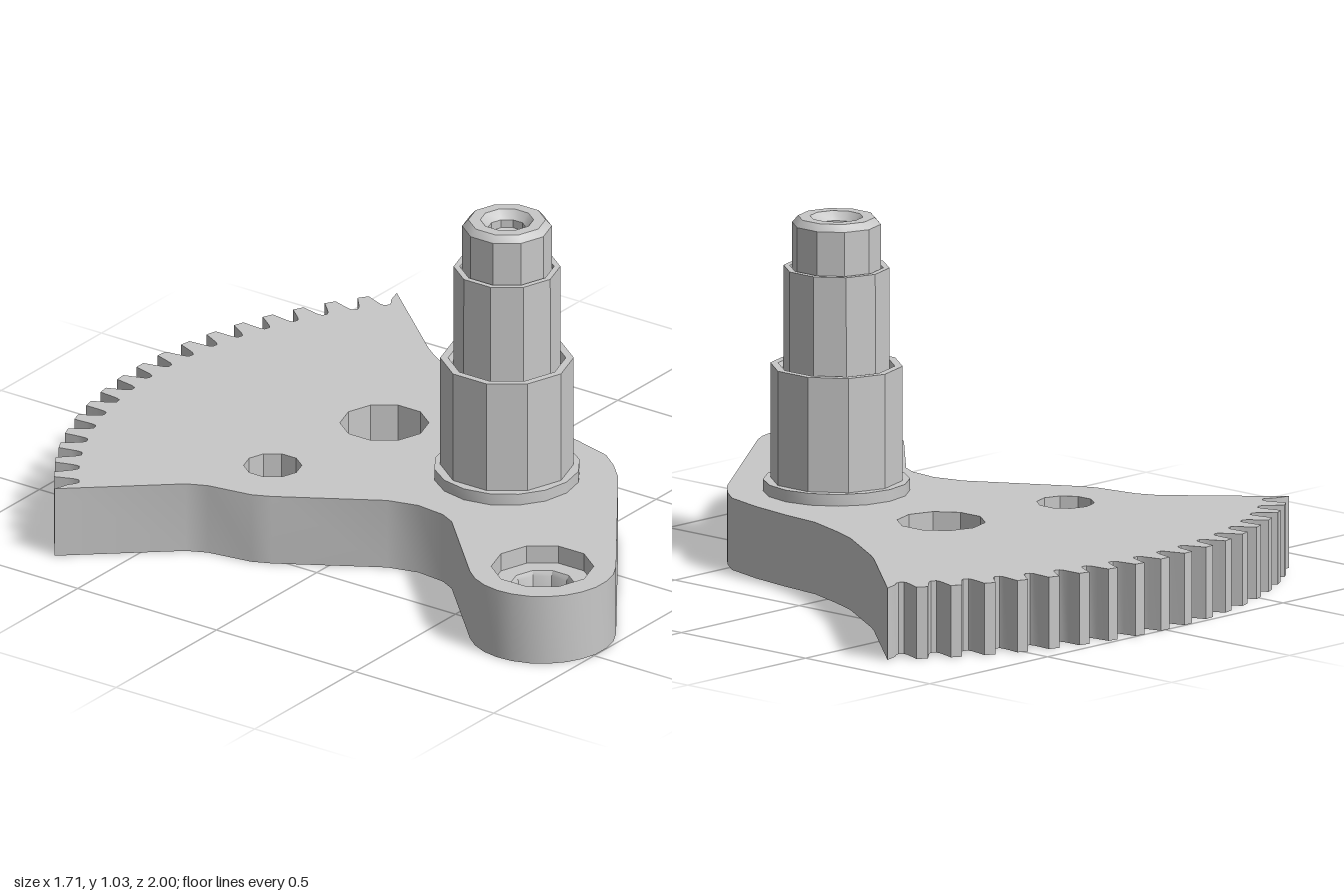
import * as THREE from 'three';
import { toCreasedNormals } from 'three/addons/utils/BufferGeometryUtils.js';

const THICK = 0.215;          // plate thickness
const PIVOT_Z = 0.324;        // shaft axis, also centre of the toothed arc
const ARM = [-0.46, 0.785];   // rounded arm end
const SMALL = [-0.345, -0.271];
const BIG = [0.09, -0.183];
const rad = THREE.MathUtils.degToRad;

export function createModel() {
  const group = new THREE.Group();
  const steel = new THREE.MeshStandardMaterial({ color: 0xc8c8c8 });
  steel.name = 'steel grey';

  function add(name, geometry, x = 0, y = 0, z = 0) {
    const mesh = new THREE.Mesh(toCreasedNormals(geometry, 0.5), steel);
    mesh.name = name;
    mesh.position.set(x, y, z);
    group.add(mesh);
  }
  const lathe = (points, sides) =>
    new THREE.LatheGeometry(points.map(([r, y]) => new THREE.Vector2(r, y)), sides);

  // Outline of the plate as [x, z], starting with the toothed arc
  const outline = [];
  const polar = (deg, r) => outline.push([r * Math.sin(rad(deg)), PIVOT_Z - r * Math.cos(rad(deg))]);
  const step = 4.45, last = 9;
  const flank = [[0.75, 1.324], [1.2, 1.284], [1.5, 1.262], [1.85, 1.251]];
  for (let k = -last; k <= last; k++) {
    const a = k * step;
    if (k > -last) [...flank].reverse().forEach(([d, r]) => {
      if (k < last || d > 1) polar(a - d, r);
    });
    if (Math.abs(k) === last) polar(a, 1.325);
    if (k < last) flank.forEach(([d, r]) => {
      if (k > -last || d > 1) polar(a + d, r);
    });
  }
  // Right flank down to the arm
  outline.push([0.59, -0.385], [0.565, -0.35], [0.44, -0.15], [0.4, -0.055], [0.355, 0.075],
    [0.342, 0.205], [0.32, 0.345], [0.285, 0.475], [0.24, 0.535], [0.18, 0.595]);
  // Round arm end
  for (let i = 0; i <= 12; i++) {
    const a = rad(55 + (170 * i) / 12);
    outline.push([ARM[0] + 0.215 * Math.cos(a), ARM[1] + 0.215 * Math.sin(a)]);
  }
  // Left flank back up to the teeth
  outline.push([-0.36, 0.385], [-0.335, 0.335], [-0.325, 0.24], [-0.35, 0.145],
    [-0.525, -0.145], [-0.55, -0.2], [-0.572, -0.34], [-0.6, -0.4]);

  const shape = new THREE.Shape(outline.map(([x, z]) => new THREE.Vector2(x, -z)));
  // Holes run against the clockwise outline so their walls face inwards
  const cutHole = ([x, z], r) => {
    const pts = [];
    for (let i = 0; i < 10; i++) {
      const a = Math.PI / 2 + (i * Math.PI) / 5;
      pts.push(new THREE.Vector2(x + r * Math.cos(a), -z + r * Math.sin(a)));
    }
    shape.holes.push(new THREE.Path(pts));
  };
  cutHole(ARM, 0.15);
  cutHole(SMALL, 0.152);
  cutHole(BIG, 0.13);
  const plate = new THREE.ExtrudeGeometry(shape, { depth: THICK, bevelEnabled: false });
  plate.rotateX(-Math.PI / 2);
  add('sectorPlate', plate);

  // Rings that narrow the counterbored holes, recessed on top or underneath
  add('armHoleSeat', lathe([[0.15, 0.16], [0.095, 0.16], [0.087, 0.145], [0.087, 0], [0.15, 0]], 10),
    ARM[0], 0, ARM[1]);
  add('smallHoleSeat', lathe([[0.152, THICK], [0.085, THICK], [0.085, 0.06], [0.152, 0.06]], 10),
    SMALL[0], 0, SMALL[1]);

  // Flange at the foot of the shaft
  add('shaftFlange', lathe([[0.215, THICK - 0.01], [0.215, 0.25], [0.15, 0.25]], 16), 0, 0, PIVOT_Z);

  // Stepped shaft with grooved ledges and a drilled centre in the top
  add('steppedShaft', lathe([
    [0.195, 0.24], [0.195, 0.592], [0.172, 0.592], [0.157, 0.56],
    [0.156, 0.885], [0.138, 0.885], [0.131, 0.865],
    [0.131, 1.015], [0.113, 1.035], [0.078, 1.035], [0.056, 1.01], [0.056, 0.985], [0, 0.965],
  ], 10), 0, 0, PIVOT_Z);

  return group;
}
